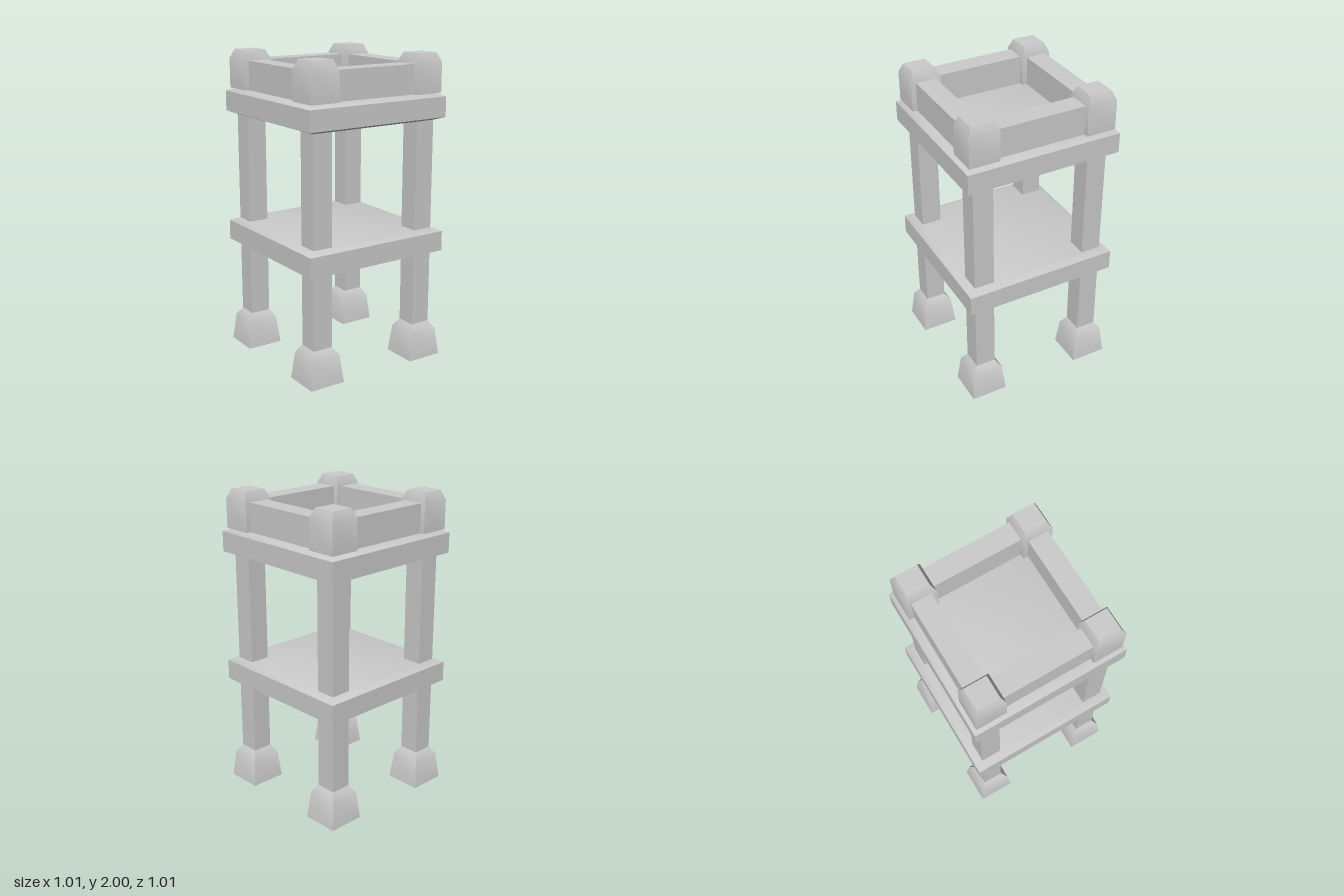
import * as THREE from 'three';
import { toCreasedNormals } from 'three/addons/utils/BufferGeometryUtils.js';

const material = new THREE.MeshStandardMaterial({ color: 0xcccccc });
const LEG = 0.385; // distance of leg centres from the axis

// Closed square solid from [half width, height] rings, bottom to top
function squareStack(rings) {
  const pts = rings.map(([h, y]) => new THREE.Vector2(h * Math.SQRT2, y));
  pts.unshift(new THREE.Vector2(0, rings[0][1]));
  pts.push(new THREE.Vector2(0, rings[rings.length - 1][1]));
  const lathe = new THREE.LatheGeometry(pts, 4, Math.PI / 4);
  return toCreasedNormals(lathe, 0.6);
}

export function createModel() {
  const model = new THREE.Group();
  const add = (name, geometry, x = 0, z = 0) => {
    const mesh = new THREE.Mesh(geometry, material);
    mesh.name = name;
    mesh.position.set(x, 0, z);
    model.add(mesh);
    return mesh;
  };

  // Bevelled slabs: shelf and top platform
  for (const [name, y] of [['shelf', 0.705], ['topPlatform', 1.58]]) {
    add(name, squareStack([[0.45, y], [0.505, y + 0.02], [0.505, y + 0.15], [0.45, y + 0.172]]));
  }

  // Foot, leg and corner post at each corner
  const foot = squareStack([[0.12, 0], [0.1, 0.18], [0.066, 0.23]]);
  const leg = squareStack([[0.066, 0.23], [0.066, 1.59]]);
  const post = squareStack([[0.0975, 1.752], [0.0975, 1.94], [0.0725, 2]]);
  for (const sx of [-1, 1]) {
    for (const sz of [-1, 1]) {
      const corner = (sz > 0 ? 'front' : 'back') + (sx > 0 ? 'Left' : 'Right');
      add(corner + 'Foot', foot, sx * LEG, sz * LEG);
      add(corner + 'Leg', leg, sx * LEG, sz * LEG);
      add(corner + 'Post', post, sx * LEG, sz * LEG);
    }
  }

  // Low walls between the posts
  const wall = new THREE.BoxGeometry(0.6, 0.19, 0.132);
  wall.translate(0, 1.843, LEG);
  ['frontWall', 'leftWall', 'backWall', 'rightWall'].forEach((name, i) => {
    add(name, wall).rotation.y = i * Math.PI / 2;
  });

  return model;
}
